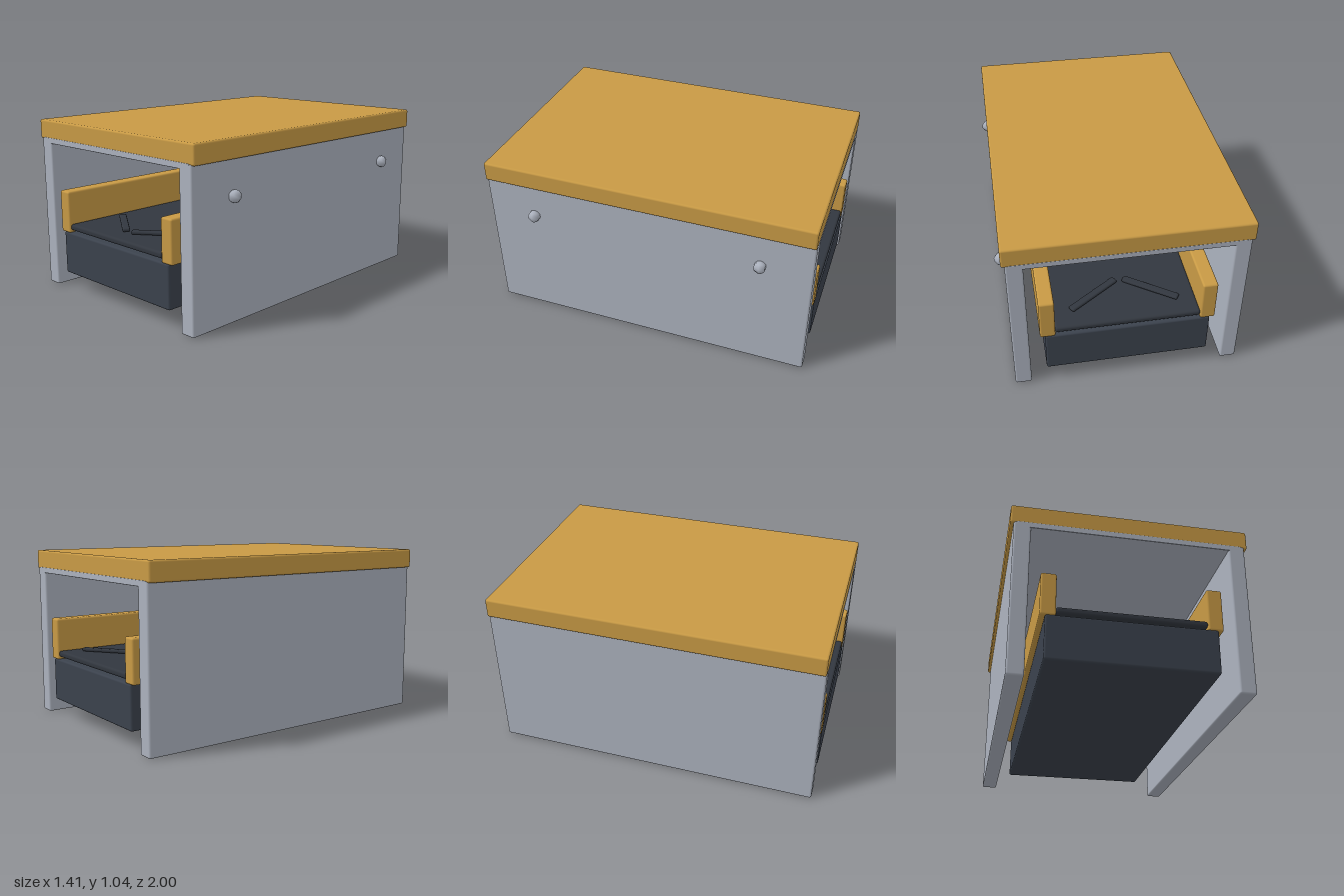
import * as THREE from 'three';
import { RoundedBoxGeometry } from 'three/addons/geometries/RoundedBoxGeometry.js';

const wood = new THREE.MeshStandardMaterial({ name: 'wood', color: 0xc89a45 });
const metal = new THREE.MeshStandardMaterial({ name: 'greyMetal', color: 0xacb2be });
const dark = new THREE.MeshStandardMaterial({ name: 'darkBase', color: 0x3b424d });
const darker = new THREE.MeshStandardMaterial({ name: 'darkBelt', color: 0x32373f });

const CX = -0.0175; // middle of the body; the knobs stick out on one side

export function createModel() {
  const model = new THREE.Group();

  const box = (name, material, w, h, d, x, y, z, radius = 0.012) => {
    const mesh = new THREE.Mesh(new RoundedBoxGeometry(w, h, d, 2, radius), material);
    mesh.name = name;
    mesh.position.set(CX + x, y, z);
    model.add(mesh);
    return mesh;
  };

  // Outer tunnel: lid, ceiling and two side walls
  box('lid', wood, 1.375, 0.117, 1.998, 0, 0.9825, 0);
  box('ceiling', metal, 1.3, 0.035, 2, 0, 0.9175, 0, 0.004);

  // Inner bed: base and belt
  box('base', dark, 0.958, 0.264, 1.998, 0, 0.236, 0);
  box('belt', darker, 0.842, 0.038, 1.99, 0, 0.402, 0, 0.015);

  for (const side of [-1, 1]) {
    box('sideWall', metal, 0.096, 0.935, 2, side * 0.62, 0.4675, 0);
    box('sideRail', wood, 0.088, 0.257, 1.998, side * 0.464, 0.4925, 0);

    // Slanted bars forming chevrons along the belt
    for (let i = 0; i < 4; i++) {
      const bar = box('chevronBar', darker, 0.355, 0.022, 0.045,
        side * 0.17, 0.435, -0.775 + i * 0.517, 0.01);
      bar.rotation.y = side * THREE.MathUtils.degToRad(35);
    }

    // Knobs on the left wall
    const knob = new THREE.Mesh(new THREE.SphereGeometry(0.0377, 6, 5), metal);
    knob.name = 'knob';
    knob.position.set(0.667, 0.724, side * 0.7);
    model.add(knob);
  }

  return model;
}
